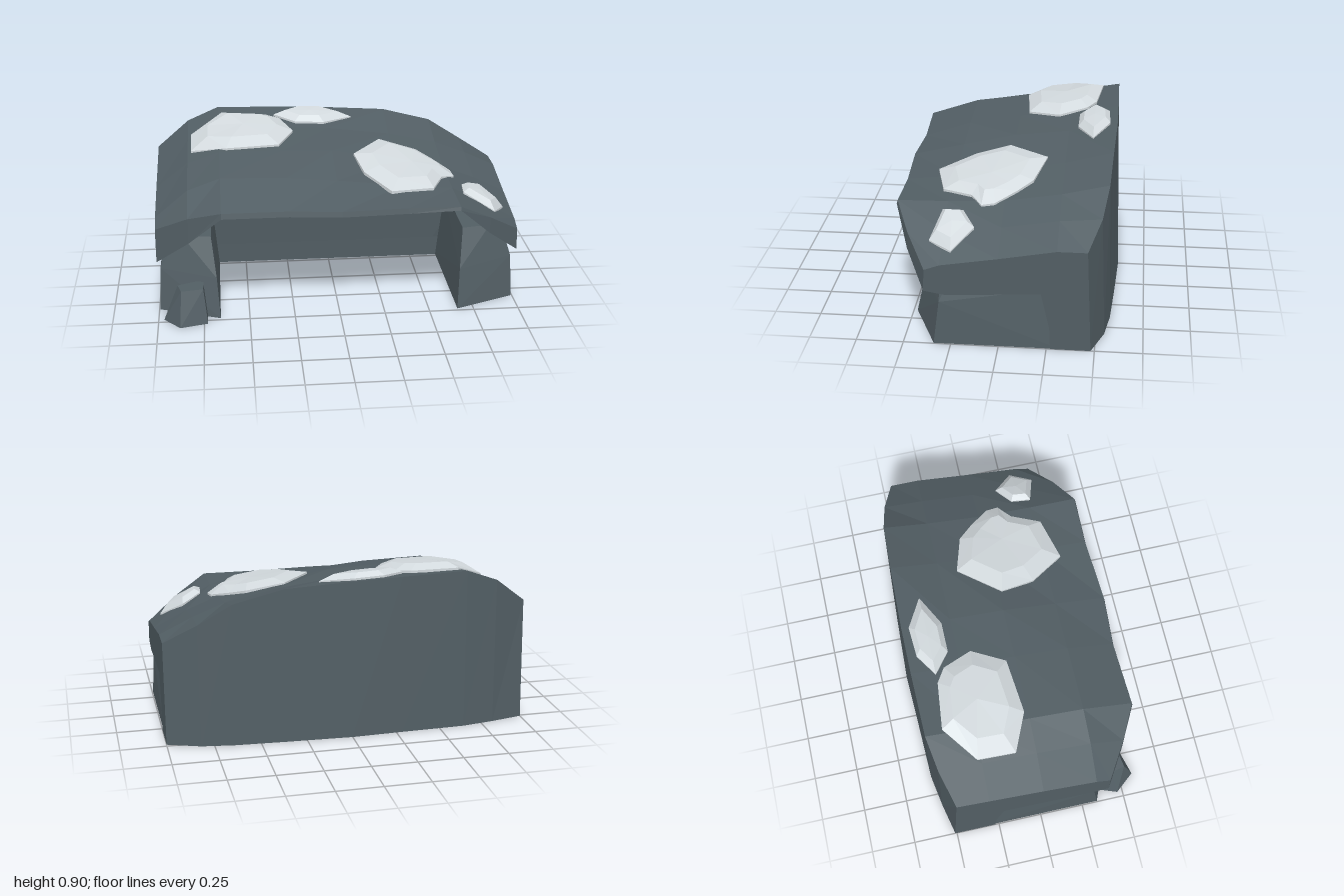
import * as THREE from 'three';
import { ConvexGeometry } from 'three/addons/geometries/ConvexGeometry.js';

const V = (x, y, z) => new THREE.Vector3(x, y, z);

// Flat-shaded geometry from a list of triangles
function facets(tris) {
  const pts = tris.filter(t => new THREE.Triangle(...t).getArea() > 1e-8).flat();
  const geo = new THREE.BufferGeometry().setFromPoints(pts);
  geo.computeVertexNormals();
  return geo;
}

// Triangles joining a row of closed loops
function loft(loops) {
  const tris = [];
  for (let i = 0; i < loops.length - 1; i++) {
    const A = loops[i], B = loops[i + 1], n = A.length;
    for (let j = 0; j < n; j++) {
      const k = (j + 1) % n;
      tris.push([A[j], A[k], B[j]], [A[k], B[k], B[j]]);
    }
  }
  return tris;
}

// Stations along x: back z at base and top, front z, lower lip height, inner ceiling height,
// and roof heights from back to front
const stations = [
  { x: -1.0, zb: -0.51, zt: -0.48, zf: 0.38, lip: 0.31, ceil: 0.32, roof: [0.68, 0.65, 0.60, 0.54, 0.50] },
  { x: -0.82, zb: -0.55, zt: -0.535, zf: 0.49, lip: 0.46, ceil: 0.46, roof: [0.82, 0.78, 0.74, 0.69, 0.60] },
  { x: -0.64, zb: -0.58, zt: -0.565, zf: 0.58, lip: 0.63, ceil: 0.62, roof: [0.89, 0.84, 0.80, 0.755, 0.66] },
  { x: -0.28, zb: -0.59, zt: -0.57, zf: 0.565, lip: 0.625, ceil: 0.62, roof: [0.88, 0.84, 0.80, 0.745, 0.655] },
  { x: 0.0, zb: -0.60, zt: -0.57, zf: 0.585, lip: 0.62, ceil: 0.62, roof: [0.87, 0.825, 0.79, 0.72, 0.65] },
  { x: 0.36, zb: -0.585, zt: -0.56, zf: 0.565, lip: 0.62, ceil: 0.62, roof: [0.85, 0.78, 0.72, 0.68, 0.65] },
  { x: 0.64, zb: -0.57, zt: -0.55, zf: 0.57, lip: 0.63, ceil: 0.62, roof: [0.78, 0.72, 0.67, 0.655, 0.65] },
  { x: 0.82, zb: -0.545, zt: -0.52, zf: 0.49, lip: 0.46, ceil: 0.46, roof: [0.67, 0.65, 0.60, 0.565, 0.55] },
  { x: 1.0, zb: -0.48, zt: -0.455, zf: 0.38, lip: 0.31, ceil: 0.32, roof: [0.565, 0.565, 0.51, 0.46, 0.43] },
];
const roofZ = s => [s.zt, -0.3, 0, 0.3, s.zf];

// Roof height at any x and z
function roofY(x, z) {
  const at = s => {
    const zs = roofZ(s);
    let k = 0;
    while (k < 3 && z > zs[k + 1]) k++;
    const t = THREE.MathUtils.clamp((z - zs[k]) / (zs[k + 1] - zs[k]), 0, 1);
    return THREE.MathUtils.lerp(s.roof[k], s.roof[k + 1], t);
  };
  let i = 0;
  while (i < stations.length - 2 && x > stations[i + 1].x) i++;
  const a = stations[i], b = stations[i + 1];
  return THREE.MathUtils.lerp(at(a), at(b), (x - a.x) / (b.x - a.x));
}

// Back wall and roof in one shell, closed at both ends
function shellGeometry() {
  const loops = stations.map(s => {
    const zs = roofZ(s);
    return [
      V(s.x, 0, s.zb),
      ...s.roof.map((y, k) => V(s.x, y, zs[k])),
      V(s.x, s.lip, s.zf + 0.006),
      V(s.x, s.lip - 0.02, 0.27),
      V(s.x, s.ceil, -0.22),
      V(s.x, 0.12, -0.265),
      V(s.x, 0, -0.27),
    ];
  });
  const tris = loft(loops);
  for (const [loop, side] of [[loops[0], -1], [loops.at(-1), 1]]) {
    const flat = loop.map(p => new THREE.Vector2(p.z, p.y));
    for (const f of THREE.ShapeUtils.triangulateShape(flat, [])) {
      const t = f.map(i => loop[i]);
      const n = new THREE.Triangle(...t).getNormal(V(0, 0, 0));
      tris.push(n.x * side > 0 ? t : t.reverse());
    }
  }
  return facets(tris);
}

// Snow patch: raised cap following the roof, with its skirt sunk into the rock
function snowGeometry(outline, rise) {
  const c = outline.reduce((s, p) => [s[0] + p[0] / outline.length, s[1] + p[1] / outline.length], [0, 0]);
  const ring = (scale, lift) => outline.map(([px, pz]) => {
    const x = c[0] + (px - c[0]) * scale, z = c[1] + (pz - c[1]) * scale;
    return V(x, roofY(x, z) + lift, z);
  });
  return facets(loft([ring(0, rise * 1.1), ring(0.68, rise), ring(1, 0.012), ring(1, -0.04)]));
}

export function createModel() {
  const group = new THREE.Group();
  const rock = new THREE.MeshStandardMaterial({ color: 0x525e64 });
  rock.name = 'slateRock';
  const snow = new THREE.MeshStandardMaterial({ color: 0xd3dade });
  snow.name = 'paleSnow';
  const add = (name, geo, mat) => {
    const mesh = new THREE.Mesh(geo, mat);
    mesh.name = name;
    group.add(mesh);
  };

  add('rockShell', shellGeometry(), rock);

  // Side walls under the roof
  for (const [name, s] of [['leftSideWall', 1], ['rightSideWall', -1]]) {
    add(name, new ConvexGeometry([
      V(s * 0.995, 0, 0.34), V(s * 0.66, 0, 0.48), V(s * 0.66, 0, -0.32), V(s * 0.995, 0, -0.32),
      V(s * 0.985, 0.24, 0.31), V(s * 0.675, 0.22, 0.43),
      V(s * 0.96, 0.33, 0.27), V(s * 0.96, 0.34, -0.32),
      V(s * 0.70, 0.43, 0.34), V(s * 0.86, 0.43, 0.31),
      V(s * 0.70, 0.43, -0.32), V(s * 0.86, 0.43, -0.32),
    ]), rock);
  }

  // Small boulder at the right front
  add('boulder', new ConvexGeometry([
    V(-0.97, 0, 0.47), V(-0.88, 0, 0.58), V(-0.73, 0, 0.54), V(-0.73, 0, 0.36), V(-0.93, 0, 0.36),
    V(-0.89, 0.19, 0.44), V(-0.87, 0.19, 0.52), V(-0.75, 0.19, 0.50), V(-0.75, 0.19, 0.38),
  ]), rock);

  // Snow patches, outlined in x and z
  const patches = [
    ['largeRightSnow', 0.045, [[-0.62, -0.47], [-0.36, -0.44], [-0.28, -0.39], [-0.21, -0.23],
      [-0.3, -0.05], [-0.6, -0.02], [-0.8, -0.11], [-0.8, -0.32]]],
    ['backSnow', 0.04, [[-0.31, -0.44], [-0.19, -0.52], [-0.02, -0.53], [0.15, -0.44], [-0.02, -0.35], [-0.19, -0.35]]],
    ['largeLeftSnow', 0.045, [[0.29, -0.2], [0.5, -0.14], [0.58, -0.06], [0.67, 0.05], [0.68, 0.12],
      [0.6, 0.18], [0.53, 0.34], [0.29, 0.4], [0.16, 0.21], [0.12, 0.02]]],
    ['smallLeftSnow', 0.045, [[0.71, 0.21], [0.82, 0.14], [0.94, 0.25], [0.87, 0.37], [0.7, 0.32]]],
  ];
  for (const [name, rise, outline] of patches) add(name, snowGeometry(outline, rise), snow);

  return group;
}
